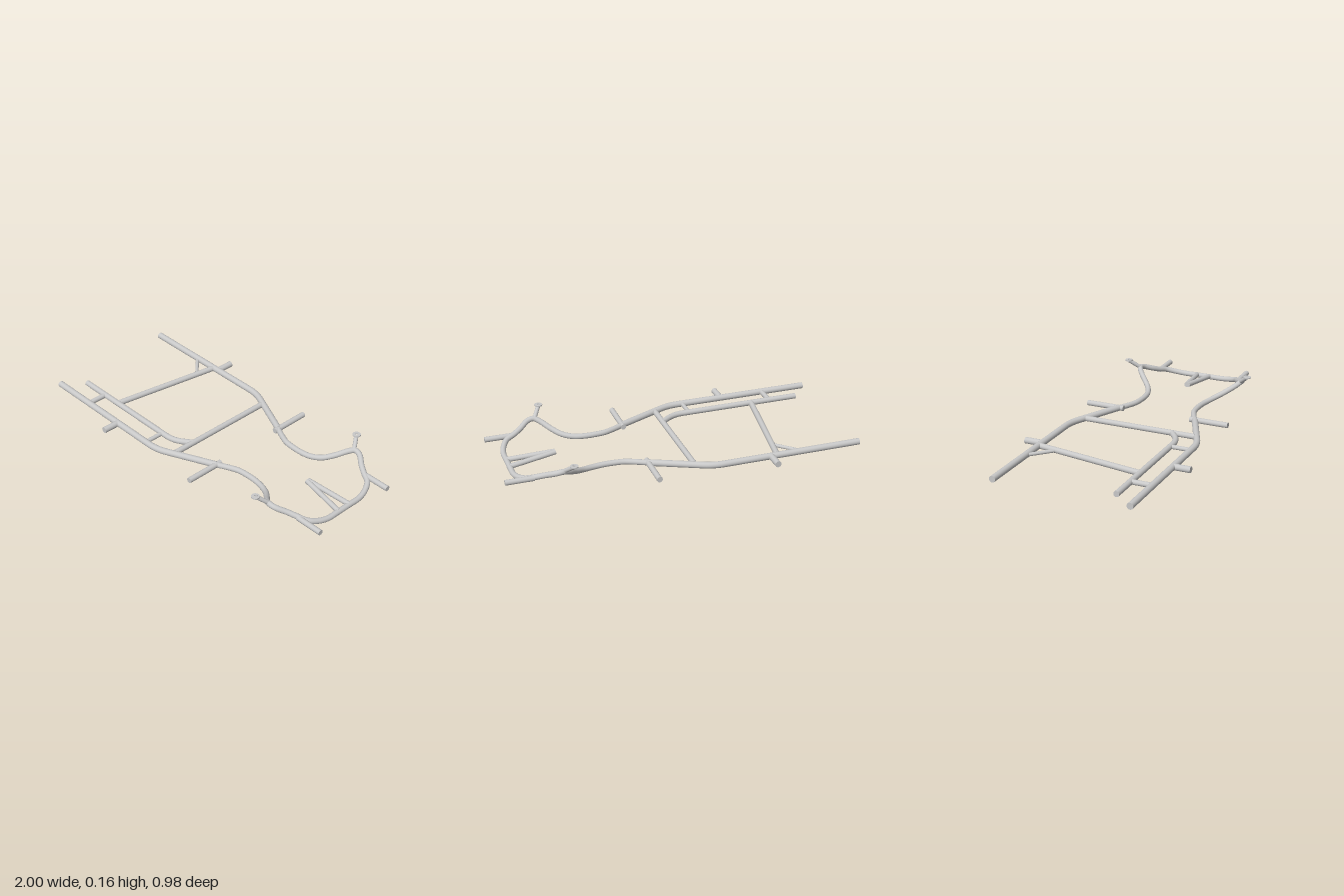
import * as THREE from 'three';

const steel = new THREE.MeshStandardMaterial({ color: 0xc8c8c8 });
steel.name = 'bare steel';

const V = (p) => new THREE.Vector3(...p);

// Curve through straight runs with rounded corners
function bentPath(points, bend) {
  const pts = points.map(V);
  const path = new THREE.CurvePath();
  let from = pts[0];
  for (let i = 1; i < pts.length - 1; i++) {
    const a = pts[i].clone().add(pts[i - 1].clone().sub(pts[i]).setLength(bend));
    const b = pts[i].clone().add(pts[i + 1].clone().sub(pts[i]).setLength(bend));
    path.add(new THREE.LineCurve3(from, a));
    path.add(new THREE.QuadraticBezierCurve3(a, pts[i], b));
    from = b;
  }
  path.add(new THREE.LineCurve3(from, pts[pts.length - 1]));
  return path;
}

// Round tube along a curve, closed with a disc at each end
function pipe(name, curve, radius, segments) {
  const g = new THREE.Group();
  g.name = name;
  const body = new THREE.Mesh(new THREE.TubeGeometry(curve, segments, radius, 24), steel);
  body.name = name + 'Tube';
  g.add(body);
  for (const t of [0, 1]) {
    const cap = new THREE.Mesh(new THREE.CircleGeometry(radius, 24), steel);
    cap.name = name + 'End';
    const out = curve.getTangentAt(t).multiplyScalar(t ? 1 : -1);
    cap.position.copy(curve.getPointAt(t));
    cap.quaternion.setFromUnitVectors(new THREE.Vector3(0, 0, 1), out);
    g.add(cap);
  }
  return g;
}

const bar = (name, a, b, r) => pipe(name, new THREE.LineCurve3(V(a), V(b)), r, 1);

export function createModel() {
  const model = new THREE.Group();
  model.name = 'kartFrame';
  const y = 0.0195;

  for (const s of [1, -1]) {
    const side = s > 0 ? 'front' : 'back';

    // Long side rail with one bend
    model.add(pipe(side + 'SideRail',
      bentPath([[-1, y, 0.39 * s], [-0.13, y, 0.39 * s], [0.2, y, 0.24 * s]], 0.06), 0.0185, 80));

    // Short axle stubs
    model.add(bar(side + 'RearStub', [-0.465, y, 0.39 * s], [-0.465, y, 0.492 * s], 0.018));
    model.add(bar(side + 'MiddleStub', [0.2, y, 0.21 * s], [0.2, y, 0.442 * s], 0.016));

    // Level stub at the nose
    model.add(bar(side + 'NoseStub', [0.84, 0.05, 0.258 * s], [1, 0.05, 0.258 * s], 0.0155));

    // Inclined post and its ring-shaped mounting plate
    model.add(bar(side + 'Post', [0.695, 0.1, 0.325 * s], [0.654, 0.15, 0.385 * s], 0.012));
    const ring = new THREE.Mesh(new THREE.LatheGeometry(
      [[0.008, -0.003], [0.023, -0.003], [0.023, 0.003], [0.008, 0.003], [0.008, -0.003]]
        .map((p) => new THREE.Vector2(...p)), 24).toNonIndexed(), steel);
    ring.geometry.computeVertexNormals();
    ring.name = side + 'MountingPlate';
    ring.position.set(0.654, 0.153, 0.387 * s);
    model.add(ring);

    // Converging nose support
    model.add(bar(side + 'NoseSupport', [0.925, 0.022, 0.041 * s], [0.66, 0.047, 0.004 * s], 0.0145));
  }

  // Continuous curved nose loop, mirrored about the middle
  const half = [
    [0.2, 0.0185, 0.238], [0.27, 0.0185, 0.204], [0.32, 0.0185, 0.185], [0.37, 0.0185, 0.179],
    [0.44, 0.0185, 0.179], [0.5, 0.02, 0.19], [0.56, 0.03, 0.217], [0.615, 0.054, 0.263],
    [0.665, 0.085, 0.311], [0.7, 0.1, 0.33], [0.735, 0.094, 0.325], [0.79, 0.071, 0.284],
    [0.83, 0.056, 0.26], [0.88, 0.042, 0.232], [0.91, 0.027, 0.18],
    [0.924, 0.0185, 0.12], [0.925, 0.0185, 0.05],
  ];
  const loop = [...half, ...half.map(([x, h, z]) => [x, h, -z]).reverse()];
  model.add(pipe('noseLoop', new THREE.CatmullRomCurve3(loop.map(V)), 0.0158, 180));

  // Cross members
  model.add(bar('crossBar', [-0.034, y, -0.34], [-0.034, y, 0.335], 0.016));
  model.add(bar('slantedBar', [-0.503, y, -0.385], [-0.615, y, 0.27], 0.0165));
  model.add(bar('cornerBrace', [-0.65, y, -0.39], [-0.53, y, -0.275], 0.01));

  // Second inner rail on one side with its two links
  model.add(pipe('innerRail',
    bentPath([[-0.9, y, 0.268], [-0.125, y, 0.268], [-0.034, y, 0.2]], 0.06), 0.0165, 70));
  model.add(bar('rearLink', [-0.73, y, 0.268], [-0.73, y, 0.385], 0.0145));
  model.add(bar('frontLink', [-0.22, y, 0.268], [-0.22, y, 0.385], 0.012));

  return model;
}
